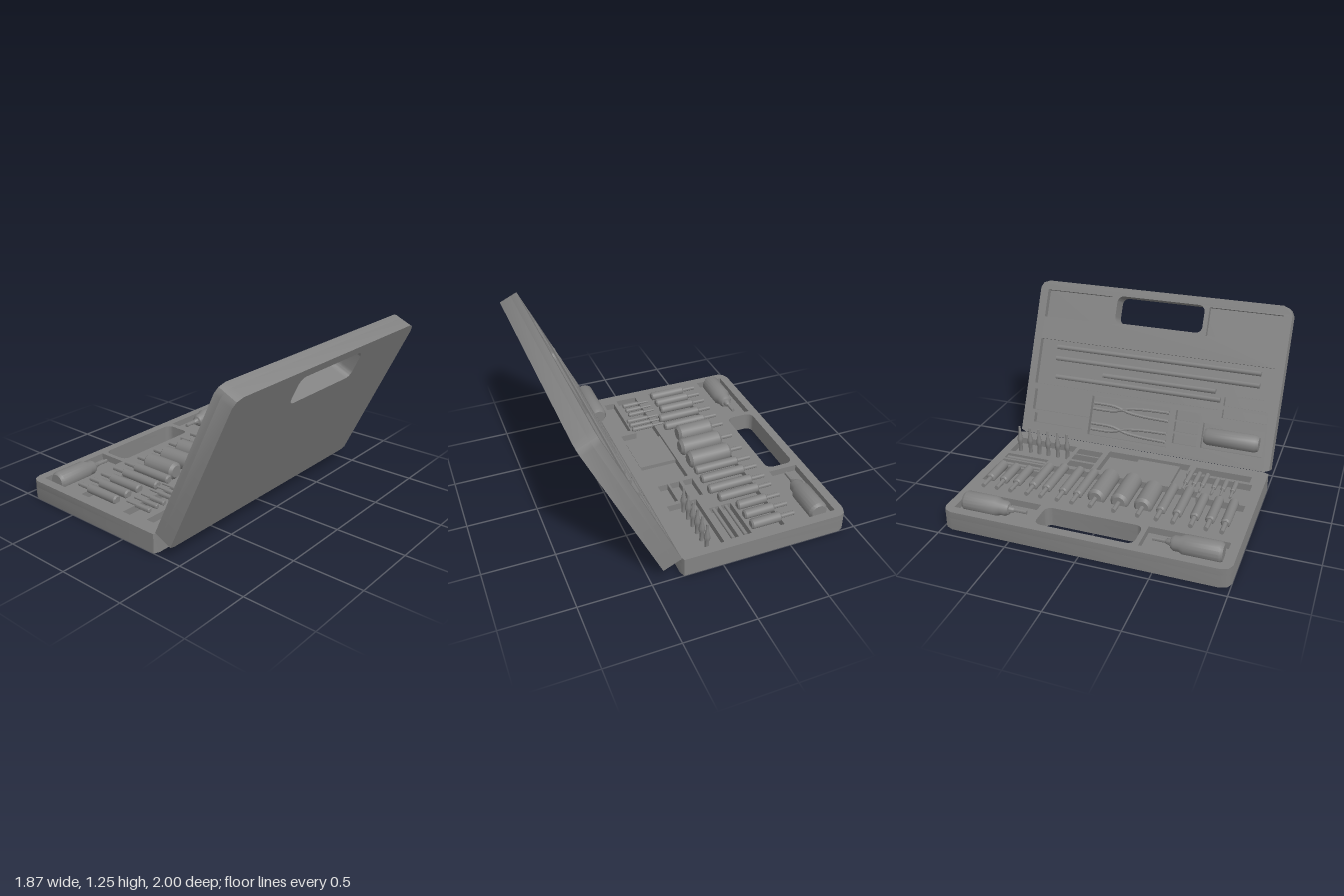
import * as THREE from 'three';
import { toCreasedNormals } from 'three/addons/utils/BufferGeometryUtils.js';

const material = new THREE.MeshStandardMaterial({ color: 0x828282, side: THREE.DoubleSide });
const THICK = 0.14, POCKET = 0.05;

function add(parent, name, geometry, x = 0, y = 0, z = 0) {
  const mesh = new THREE.Mesh(toCreasedNormals(geometry, 0.65), material);
  mesh.name = name;
  mesh.position.set(x, y, z);
  parent.add(mesh);
  return mesh;
}

// Plan outlines are [x, z] pairs
const outline = (pts, Type = THREE.Path) =>
  new Type(pts.map(([x, z]) => new THREE.Vector2(x, -z)));
const rect = (x0, x1, z0, z1) => [[x0, z0], [x1, z0], [x1, z1], [x0, z1]];

// Case outline: softened corners at the handle edge, small cuts at the hinge edge
function caseOutline(hinge, outer) {
  const s = Math.sign(outer - hinge);
  const side = [[hinge, 0.96], [hinge + s * 0.015, 1], [outer - s * 0.06, 1],
    [outer - s * 0.02, 0.98], [outer, 0.93]];
  return [...side, ...side.map(([x, z]) => [x, -z]).reverse()];
}

// Rounded opening for the carrying handle
function handleHole(x0, x1, z0, z1, r = 0.05) {
  const p = new THREE.Path();
  p.absarc(x1 - r, z1 - r, r, 0, Math.PI / 2);
  p.absarc(x0 + r, z1 - r, r, Math.PI / 2, Math.PI);
  p.absarc(x0 + r, z0 + r, r, Math.PI, Math.PI * 1.5);
  p.absarc(x1 - r, z0 + r, r, Math.PI * 1.5, Math.PI * 2);
  p.closePath();
  return p;
}

// Half of the case: solid floor plus a tray layer with pockets; inner face at y = 0
function caseHalf(parent, name, pts, handle, pockets) {
  const layer = (label, holes, depth, y) => {
    const shape = outline(pts, THREE.Shape);
    shape.holes = holes;
    const geo = new THREE.ExtrudeGeometry(shape, { depth, bevelEnabled: false, curveSegments: 5 });
    add(parent, label, geo.rotateX(-Math.PI / 2), 0, y, 0);
  };
  layer(name + 'Shell', [handle], THICK - POCKET, -THICK);
  layer(name + 'Tray', [handle, ...pockets.map(p => outline(p))], POCKET, -POCKET);
}

// Turned part from [radius, length] pairs, lying along 'x', 'z', '-z' or standing on 'y'
function turned(parent, name, profile, axis, x, y, z, sides = 16) {
  const geo = new THREE.LatheGeometry(profile.map(p => new THREE.Vector2(...p)), sides);
  if (axis === 'x') geo.rotateZ(-Math.PI / 2);
  if (axis === 'z') geo.rotateX(Math.PI / 2);
  if (axis === '-z') geo.rotateX(-Math.PI / 2);
  return add(parent, name, geo, x, y, z);
}

const rod = (parent, name, x, y, z0, z1, r) =>
  turned(parent, name, [[0, 0], [r, 0], [r, z1 - z0], [0, z1 - z0]], 'z', x, y, z0, 10);

// Bit with a thin shank and a chamfered head
function bit(parent, name, x0, xHead, x1, y, z, r, shank) {
  const a = xHead - x0, b = x1 - x0, c = r * 0.3;
  turned(parent, name, [[0, 0], [shank, 0], [shank, a], [r - c, a], [r, a + c],
    [r, b - c], [r - c, b], [0, b]], 'x', x0, y, z);
}

function buildBase() {
  const base = new THREE.Group();
  base.name = 'base';
  base.position.y = THICK;
  const pockets = [
    rect(-0.87, -0.65, -0.935, -0.39), rect(-0.87, -0.65, 0.385, 0.935),
    [[-0.48, -0.935], [-0.255, -0.935], [-0.255, -0.58], [-0.135, -0.58],
      [-0.135, 0.58], [-0.2, 0.58], [-0.2, 0.93], [-0.48, 0.93]],
    rect(-0.235, -0.16, -0.93, -0.6), rect(-0.14, -0.07, -0.93, -0.6),
    rect(-0.03, 0.19, -0.94, -0.475),
    ...[-0.095, 0.005, 0.095].map(x => rect(x, x + 0.075, -0.445, -0.25)),
    [[-0.08, -0.21], [0.21, -0.21], [0.21, 0.43], [0.085, 0.43], [0.085, 0.92], [-0.08, 0.92]],
    rect(0.115, 0.195, 0.48, 0.895),
  ];
  caseHalf(base, 'base', caseOutline(0.293, -0.935),
    handleHole(-0.87, -0.66, -0.35, 0.345), pockets);

  // Two drivers beside the handle
  const driver = [[0, 0], [0.055, 0], [0.07, 0.02], [0.07, 0.25], [0.052, 0.285], [0.052, 0.32],
    [0.04, 0.34], [0.026, 0.345], [0.018, 0.375], [0.013, 0.38], [0.013, 0.47], [0, 0.47]];
  turned(base, 'backDriver', driver, 'z', -0.76, -0.005, -0.915, 20);
  turned(base, 'frontDriver', driver, '-z', -0.76, -0.005, 0.915, 20);

  // Row of large bits: [z, head end, radius]
  const heads = [[-0.87, -0.255, 0.035], [-0.765, -0.255, 0.033], [-0.66, -0.255, 0.033],
    [-0.535, -0.172, 0.034], [-0.43, -0.142, 0.034], [-0.305, -0.142, 0.033],
    [-0.195, -0.142, 0.033], [-0.06, -0.145, 0.065], [0.11, -0.145, 0.065], [0.28, -0.195, 0.065],
    [0.41, -0.142, 0.033], [0.525, -0.142, 0.033], [0.645, -0.198, 0.033], [0.75, -0.198, 0.033],
    [0.855, -0.198, 0.033]];
  for (const [z, end, r] of heads) bit(base, 'largeBit', -0.582, -0.48, end, 0.018, z, r, 0.016);

  // Small bits
  [0.47, 0.53, 0.59, 0.675, 0.74, 0.81].forEach((z, i) =>
    bit(base, 'smallBit', -0.15, -0.065, i < 3 ? 0.105 : 0.065, 0.012, z, 0.018, 0.009));

  // Upright pins
  for (const z of [-0.905, -0.82, -0.745, -0.67, -0.59, -0.51])
    turned(base, 'uprightPin', [[0, 0], [0.015, 0], [0.015, 0.07], [0.021, 0.085], [0.021, 0.11],
      [0.01, 0.16], [0.008, 0.21], [0, 0.21]], 'y', 0.08, -POCKET, z, 12);

  // Thin rods and the flat panel
  for (const x of [-0.198, -0.106]) rod(base, 'thinRod', x, -0.014, -0.92, -0.605, 0.014);
  add(base, 'flatPanel', new THREE.BoxGeometry(0.28, 0.03, 0.325), 0.06, -0.035, 0.19);
  return base;
}

function buildLid() {
  const lid = new THREE.Group();
  lid.name = 'lid';
  lid.position.set(0.29, 0.143, 0);
  lid.rotation.z = THREE.MathUtils.degToRad(65);
  const pockets = [
    rect(0.935, 1.15, -0.935, -0.39), rect(0.935, 1.15, 0.385, 0.935),
    [[0.4, -0.94], [0.76, -0.94], [0.76, 0.93], [0.52, 0.93], [0.52, 0.57], [0.4, 0.57]],
    rect(0.09, 0.165, -0.905, -0.49), rect(0.19, 0.355, -0.93, -0.45),
    rect(0.06, 0.365, -0.44, 0.205),
    ...[0.1, 0.19, 0.28].map(x => rect(x, x + 0.075, 0.245, 0.435)),
    rect(0.1, 0.29, 0.465, 0.93),
    rect(0.345, 0.41, 0.595, 0.93), rect(0.435, 0.5, 0.595, 0.93),
  ];
  caseHalf(lid, 'lid', caseOutline(0, 1.222), handleHole(0.95, 1.16, -0.35, 0.345), pockets);

  // Long rods
  for (const [x, z0, z1] of [[0.475, -0.77, 0.565], [0.535, -0.38, 0.52], [0.62, -0.79, 0.84],
    [0.71, -0.79, 0.84]]) rod(lid, 'longRod', x, -0.012, z0, z1, 0.02);

  // Large roller
  turned(lid, 'roller', [[0, 0], [0.05, 0], [0.065, 0.025], [0.065, 0.385], [0.05, 0.41], [0, 0.41]],
    'z', 0.195, 0.008, 0.49, 20);

  // Two pairs of slender tongs
  for (const x of [0.13, 0.29]) {
    for (const s of [-1, 1]) {
      const path = [[0.022, -0.42], [0.018, -0.25], [-0.012, -0.14], [-0.026, -0.02], [-0.032, 0.19]]
        .map(([dx, z]) => new THREE.Vector3(x + s * dx, -0.01, z));
      add(lid, 'tongsArm', new THREE.TubeGeometry(new THREE.CatmullRomCurve3(path), 20, 0.012, 8));
    }
  }
  return lid;
}

export function createModel() {
  const model = new THREE.Group();
  model.name = 'toolCase';
  model.add(buildBase(), buildLid());
  return model;
}
